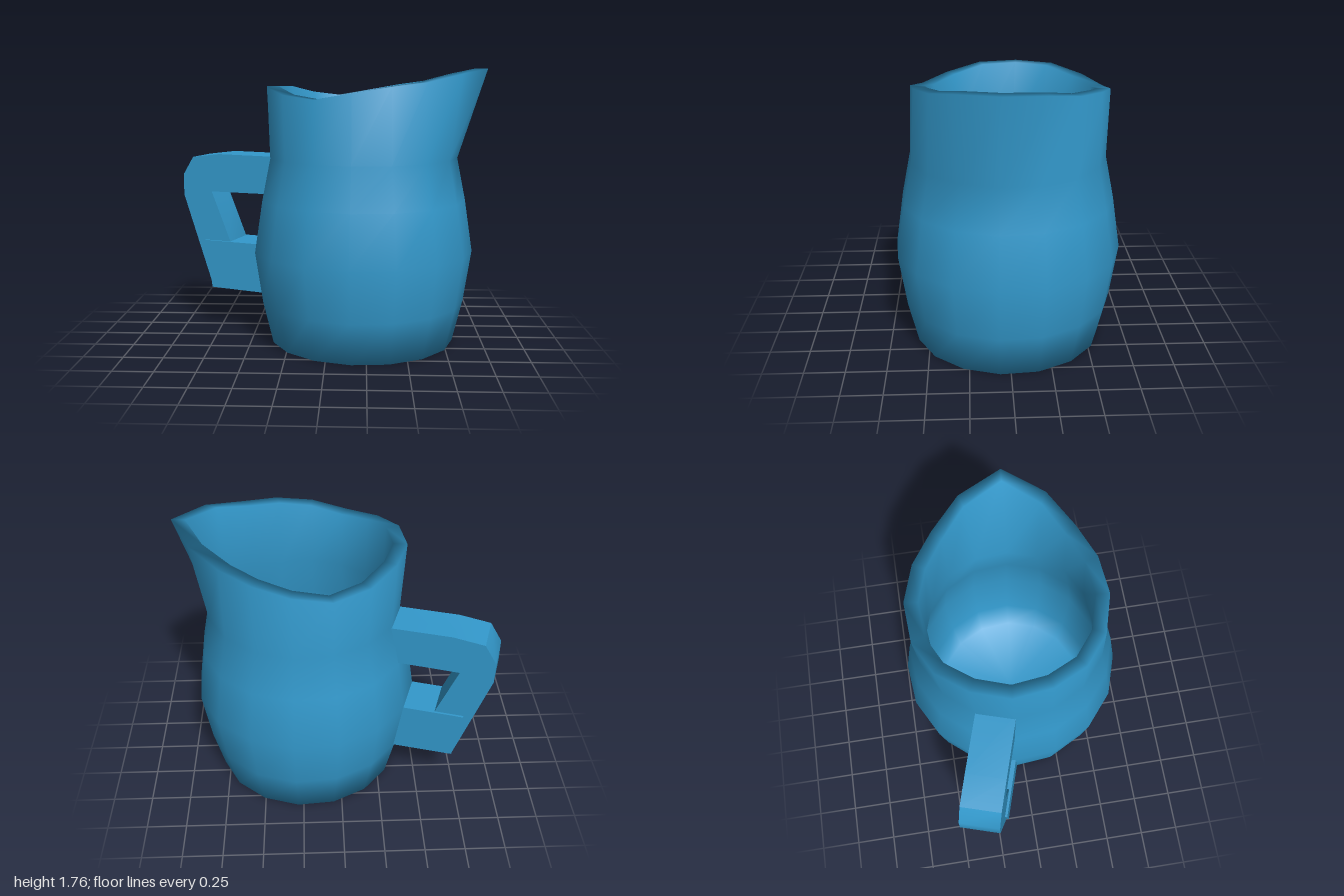
import * as THREE from 'three';
import { toCreasedNormals } from 'three/addons/utils/BufferGeometryUtils.js';

const SIDES = 16;
const STEP = (Math.PI * 2) / SIDES;
const SPOUT_ANGLE = 0.109; // spout direction around the vertical axis
const CENTRE_X = 0.22;
const WALL = 0.085;

// Rim radius and height from the spout (first) round to the handle side (last)
const RIM_RADIUS = [0.785, 0.685, 0.605, 0.592, 0.602, 0.612, 0.62, 0.622, 0.63];
const RIM_HEIGHT = [1.76, 1.73, 1.68, 1.655, 1.62, 1.58, 1.605, 1.645, 1.65];

// One round section
const ring = (r, y) => () => [r, y, 0];
// The spouted rim, mirrored about the spout direction
const rim = (inset) => (k) => {
  const m = Math.min(k, SIDES - k);
  return [RIM_RADIUS[m] - inset, RIM_HEIGHT[m], -0.015];
};

// Lofts a closed skin through the sections
function loft(sections) {
  const pos = [];
  const index = [];
  sections.forEach((section, i) => {
    for (let k = 0; k < SIDES; k++) {
      const [r, y, dz] = section(k);
      const a = SPOUT_ANGLE + k * STEP;
      pos.push(r * Math.cos(a), y, r * Math.sin(a) + dz);
      if (i === 0) continue;
      const n = (k + 1) % SIDES;
      const low = (i - 1) * SIDES;
      const up = i * SIDES;
      index.push(low + k, up + k, low + n, low + n, up + k, up + n);
    }
  });
  const geo = new THREE.BufferGeometry();
  geo.setAttribute('position', new THREE.Float32BufferAttribute(pos, 3));
  geo.setIndex(index);
  geo.computeVertexNormals();
  return geo;
}

// Extrudes a side profile (distance from the axis, height) to a centred width
function bar(points, width) {
  const shape = new THREE.Shape(points.map(([x, y]) => new THREE.Vector2(x, y)));
  const geo = new THREE.ExtrudeGeometry(shape, { depth: width, bevelEnabled: false });
  geo.translate(0, 0, -width / 2);
  return toCreasedNormals(geo, 0.6);
}

export function createModel() {
  const group = new THREE.Group();
  const blue = new THREE.MeshStandardMaterial({ color: 0x3399cc });

  const add = (parent, name, geo) => {
    const mesh = new THREE.Mesh(geo, blue);
    mesh.name = name;
    parent.add(mesh);
  };

  // Jug body: base, bulging outside, rim, inside wall and floor
  const profile = [[0.595, 0], [0.66, 0.27], [0.71, 0.6], [0.66, 0.93], [0.605, 1.2]];
  const outside = profile.map(([r, y]) => ring(r, y));
  const inside = profile.map(([r, y]) => ring(r - WALL, Math.max(y, 0.09))).reverse();
  const jug = new THREE.Group();
  jug.name = 'jug';
  jug.position.x = CENTRE_X;
  group.add(jug);
  add(jug, 'jugBody', loft([ring(0, 0), ...outside, rim(0), rim(WALL), ...inside, ring(0, 0.09)]));

  // Handle, pointing out of the face beside the vertex opposite the spout
  const handle = new THREE.Group();
  handle.name = 'handle';
  handle.rotation.y = Math.PI - (SPOUT_ANGLE + STEP / 2);
  jug.add(handle);
  add(handle, 'handleGrip', bar([
    [0.56, 1.19], [0.56, 0.94], [1.03, 0.94], [0.895, 0.6], [0.88, 0.28],
    [1.03, 0.28], [1.24, 0.91], [1.24, 1.05], [1.166, 1.17], [0.97, 1.195],
  ], 0.25));
  add(handle, 'handleLowerArm', bar([
    [0.63, 0.6], [0.63, 0.27], [1.03, 0.28], [1.08, 0.605],
  ], 0.28));

  return group;
}
